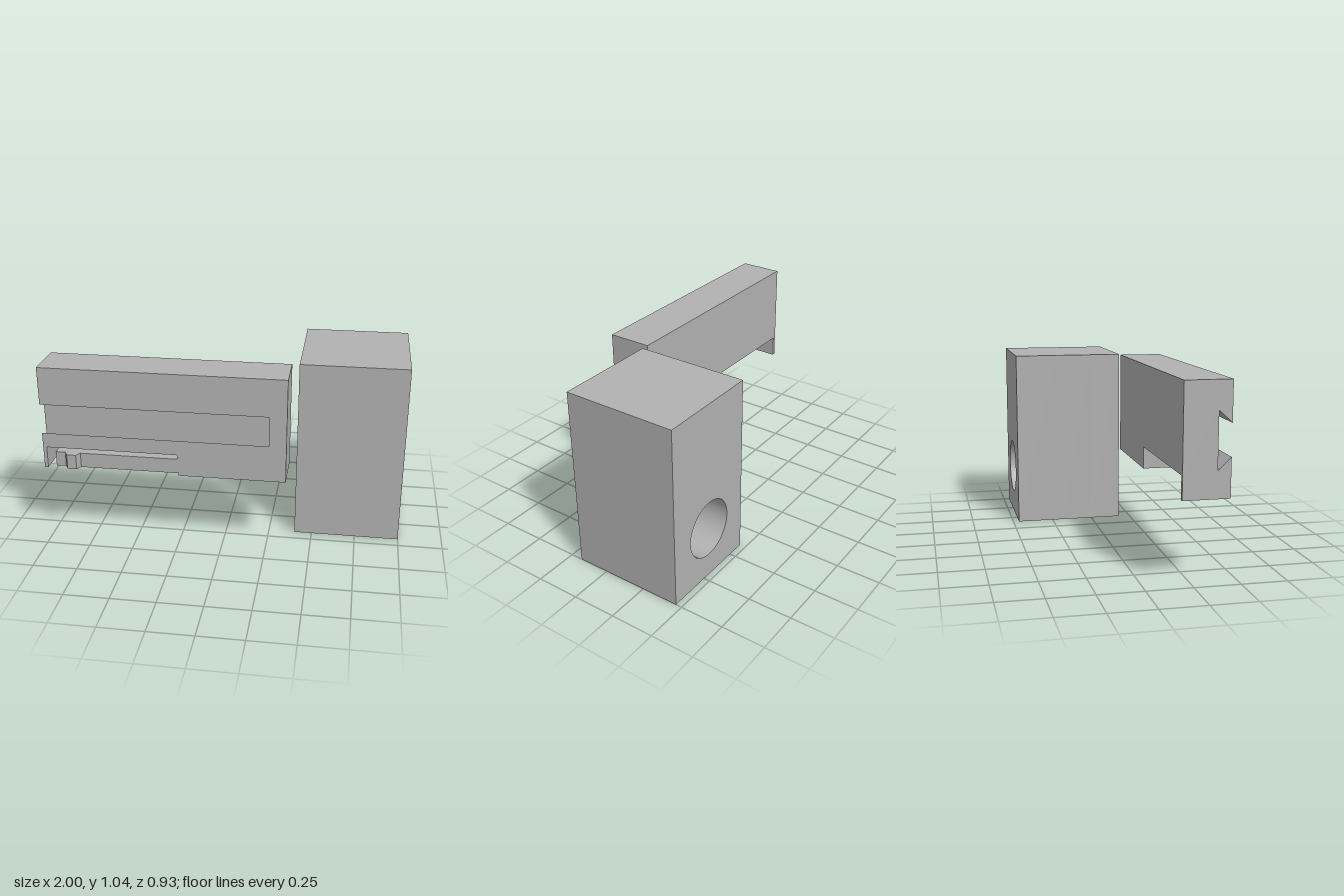
import * as THREE from 'three';

export function createModel() {
  const model = new THREE.Group();
  const grey = new THREE.MeshStandardMaterial({ color: 0xb1b1b1 });
  grey.name = 'plain grey';

  const add = (parent, name, geometry) => {
    const mesh = new THREE.Mesh(geometry, grey);
    mesh.name = name;
    parent.add(mesh);
    return mesh;
  };
  // Box given by its limits on each axis
  const box = (parent, name, x0, x1, y0, y1, z0, z1) =>
    add(parent, name, new THREE.BoxGeometry(x1 - x0, y1 - y0, z1 - z0)
      .translate((x0 + x1) / 2, (y0 + y1) / 2, (z0 + z1) / 2));
  const polygon = (points) => new THREE.Shape(points.map(([x, y]) => new THREE.Vector2(x, y)));
  const extrude = (shape, depth) =>
    new THREE.ExtrudeGeometry(shape, { depth, bevelEnabled: false, curveSegments: 64 });

  // Slide housing: dovetail groove along the front, spring clip underneath
  const housing = new THREE.Group();
  housing.name = 'slideHousing';
  model.add(housing);
  const back = 0.18, front = 0.43;

  // Cross-section in (-z, y), run along x
  const section = polygon([
    [-back, 0.575], [-back, 1.045], [-front, 1.045], [-front, 0.83],
    [-0.36, 0.895], [-0.36, 0.595], [-front, 0.66], [-front, 0.575],
  ]);
  add(housing, 'groovedRail', extrude(section, 1.265).rotateY(Math.PI / 2).translate(-1, 0, 0));
  box(housing, 'closedEnd', 0.265, 0.36, 0.45, 1.045, back, front);
  box(housing, 'endWall', -1, -0.98, 0.45, 0.575, back, front);
  box(housing, 'lowerBody', -0.235, 0.265, 0.45, 0.575, back, 0.33);

  // Front lower layer carries the spring arm; the slit above it ends in a round
  const arm = polygon([
    [-0.93, 0.465], [-0.235, 0.465], [-0.235, 0.45], [0.265, 0.45], [0.265, 0.575], [-0.2475, 0.575],
  ]);
  arm.absarc(-0.2475, 0.5625, 0.0125, Math.PI / 2, -Math.PI / 2, true);
  arm.lineTo(-0.93, 0.55);
  add(housing, 'springArm', extrude(arm, 0.1).translate(0, 0, 0.33));

  // Catch on the arm, a trapezoid in (x, -z) run upwards
  const catchShape = polygon([[-0.875, -0.43], [-0.857, -0.462], [-0.805, -0.462], [-0.788, -0.43]]);
  add(housing, 'armCatch', extrude(catchShape, 0.085).rotateX(-Math.PI / 2).translate(0, 0.465, 0));

  // Separate block with a stepped blind bore in its back
  const block = new THREE.Group();
  block.name = 'boredBlock';
  model.add(block);
  const layers = [
    [-0.465, -0.215, 0.165],
    [-0.215, -0.185, 0.152],
    [-0.185, 0.0, 0.14],
  ];
  for (const [z0, z1, radius] of layers) {
    const outline = polygon([[0.4, 0], [1, 0], [1, 1.045], [0.4, 1.045]]);
    const hole = new THREE.Path();
    hole.absarc(0.7, 0.3, radius, 0, Math.PI * 2, true);
    outline.holes.push(hole);
    add(block, 'boreLayer', extrude(outline, z1 - z0).translate(0, 0, z0));
  }
  box(block, 'solidFront', 0.4, 1, 0, 1.045, 0, back);

  return model;
}
